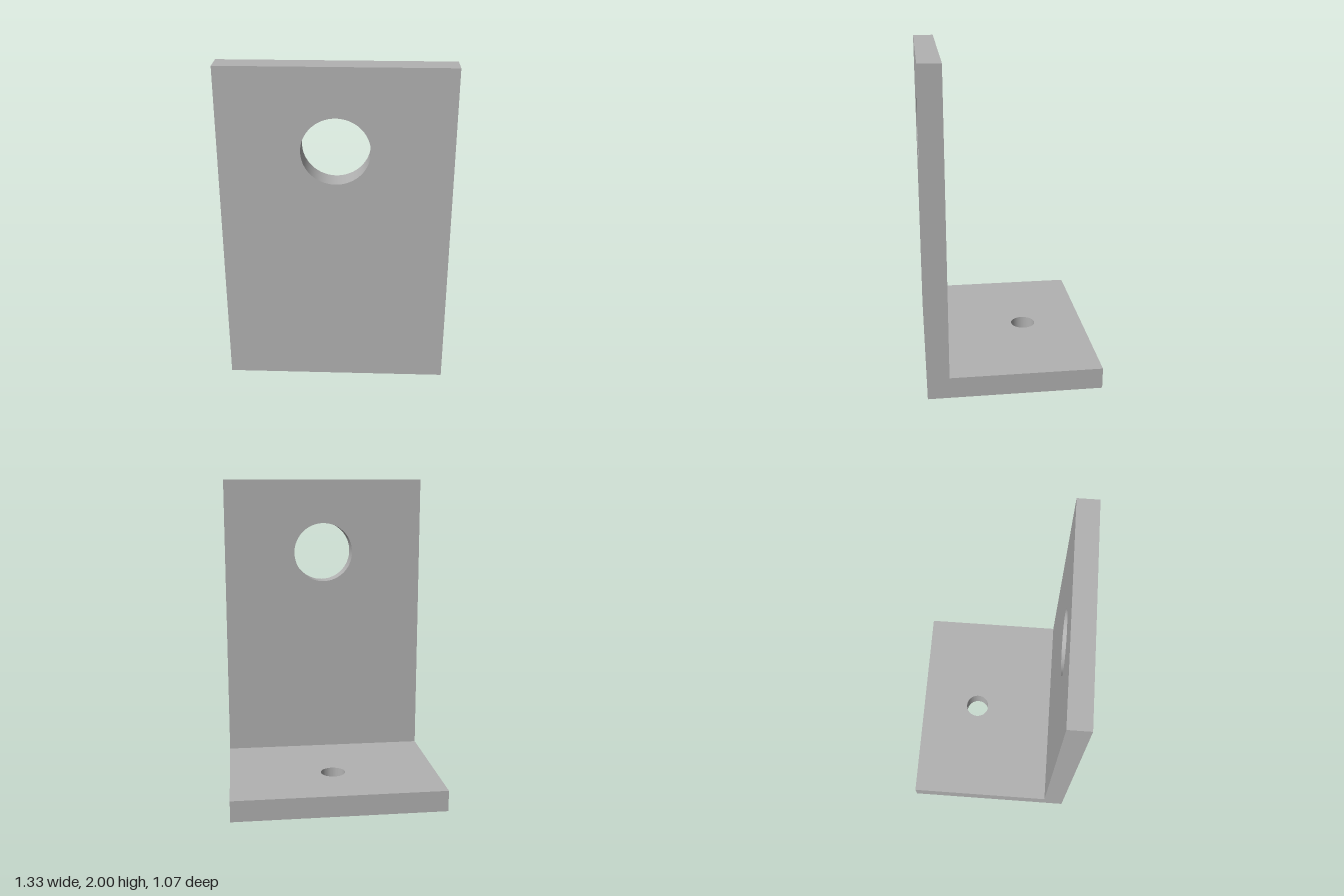
import * as THREE from 'three';
import { toCreasedNormals } from 'three/addons/utils/BufferGeometryUtils.js';

const WIDTH = 1.333, HEIGHT = 2, DEPTH = 1.067, THICK = 0.133;

// Rectangular plate in the xy plane with one round hole, thickened along +z
function drilledPlate(y0, y1, holeY, holeRadius) {
  const w = WIDTH / 2;
  const shape = new THREE.Shape([
    new THREE.Vector2(-w, y0), new THREE.Vector2(w, y0),
    new THREE.Vector2(w, y1), new THREE.Vector2(-w, y1),
  ]);
  shape.holes.push(new THREE.Path().absarc(0, holeY, holeRadius, 0, Math.PI * 2, true));
  const geometry = new THREE.ExtrudeGeometry(shape, { depth: THICK, bevelEnabled: false, curveSegments: 48 });
  return toCreasedNormals(geometry, Math.PI / 6);
}

export function createModel() {
  const group = new THREE.Group();
  group.name = 'angleBracket';
  const metal = new THREE.MeshStandardMaterial({ color: 0xb2b2b2 });
  metal.name = 'grey metal';

  // Upright plate at the front, with the large hole
  const upright = new THREE.Mesh(drilledPlate(0, HEIGHT, 1.513, 0.198), metal);
  upright.name = 'uprightPlate';
  upright.position.z = DEPTH / 2 - THICK;

  // Base plate running back from the upright, with the small bolt hole
  const baseGeometry = drilledPlate(THICK - DEPTH / 2, DEPTH / 2, 0.136, 0.079);
  baseGeometry.rotateX(-Math.PI / 2);
  const base = new THREE.Mesh(baseGeometry, metal);
  base.name = 'basePlate';

  group.add(upright, base);
  return group;
}
